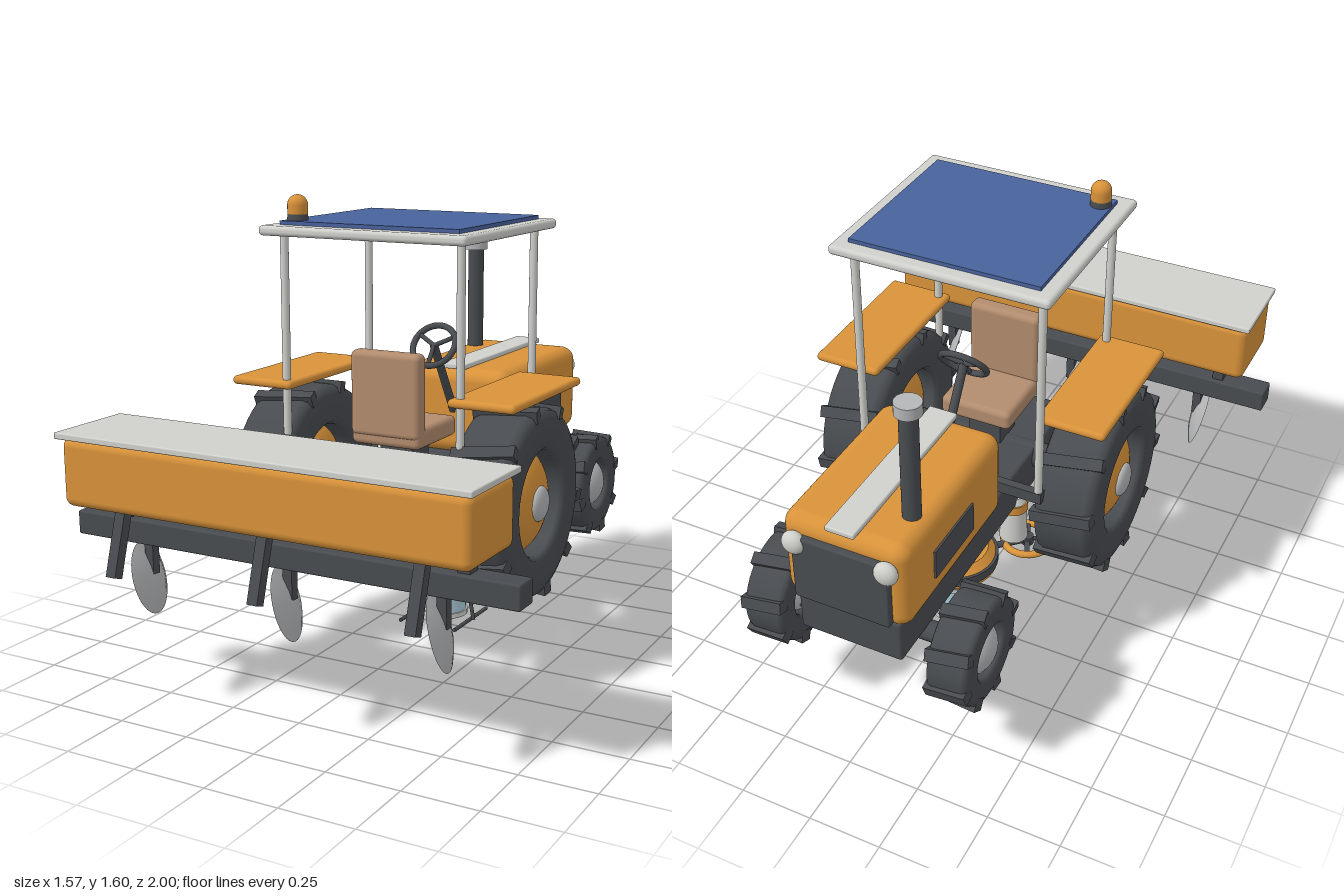
import * as THREE from 'three';
import { RoundedBoxGeometry } from 'three/addons/geometries/RoundedBoxGeometry.js';

const mat = (name, color) => Object.assign(new THREE.MeshStandardMaterial({ color }), { name });

export function createModel() {
  const orange = mat('orange paint', 0xd9933a);
  const dark = mat('dark rubber and iron', 0x484c50);
  const pale = mat('pale grey trim', 0xd0d0cc);
  const silver = mat('silver metal', 0xb4b6b8);
  const blue = mat('solar blue', 0x48629c);
  const tan = mat('tan seat', 0xb28c6e);
  const glass = mat('light blue tank', 0xaecfdd);
  const dish = mat('dished silver', 0xb4b6b8);
  dish.side = THREE.DoubleSide;

  const model = new THREE.Group();
  model.name = 'farmTractor';

  const add = (name, geo, m, x, y, z, parent = model) => {
    const mesh = new THREE.Mesh(geo, m);
    mesh.name = name;
    mesh.position.set(x, y, z);
    parent.add(mesh);
    return mesh;
  };
  // Box given by its extents; r rounds the edges
  const box = (name, m, x0, x1, y0, y1, z0, z1, r = 0, parent = model) => {
    const s = [x1 - x0, y1 - y0, z1 - z0];
    const geo = r ? new RoundedBoxGeometry(...s, 4, r) : new THREE.BoxGeometry(...s);
    return add(name, geo, m, (x0 + x1) / 2, (y0 + y1) / 2, (z0 + z1) / 2, parent);
  };
  const cyl = (name, m, rTop, rBottom, y0, y1, x, z, parent = model) =>
    add(name, new THREE.CylinderGeometry(rTop, rBottom, y1 - y0, 32), m, x, (y0 + y1) / 2, z, parent);
  // Round or square bar between two points
  const bar = (name, m, a, b, r, square = false, parent = model) => {
    const p = new THREE.Vector3(...a), q = new THREE.Vector3(...b), d = q.clone().sub(p);
    const geo = square ? new THREE.BoxGeometry(2 * r, d.length(), 2 * r)
      : new THREE.CylinderGeometry(r, r, d.length(), 16);
    const mesh = add(name, geo, m, 0, 0, 0, parent);
    mesh.position.copy(p).add(q).multiplyScalar(0.5);
    mesh.quaternion.setFromUnitVectors(new THREE.Vector3(0, 1, 0), d.normalize());
    return mesh;
  };

  // Wheel turning about x: tyre, bar lugs, domed rim and cap; outer side is +x
  const wheel = (name, side, x, y, z, R, w, rimR, rimMat, capR, lugs) => {
    const g = new THREE.Group();
    g.name = name;
    g.position.set(side * x, y, z);
    if (side < 0) g.rotation.y = Math.PI;
    model.add(g);
    const h = w / 2, b = R * 0.1;
    const profile = [[rimR, -h * 0.8], [rimR + b * 0.4, -h], [R - b, -h], [R - b * 0.3, -h + b * 0.3], [R, -h + b],
      [R, h - b], [R - b * 0.3, h - b * 0.3], [R - b, h], [rimR + b * 0.4, h], [rimR, h * 0.8], [rimR, -h * 0.8]]
      .map(p => new THREE.Vector2(...p));
    add('tyre', new THREE.LatheGeometry(profile, 48), dark, 0, 0, 0, g).rotation.z = -Math.PI / 2;
    for (let i = 0; i < lugs; i++) {
      const spin = new THREE.Group();
      spin.rotation.x = (i + 0.35) / lugs * Math.PI * 2;
      g.add(spin);
      const lug = box('lug', dark, -h - 0.002, h + 0.002, R - 0.03, R + 0.013, -0.02, 0.02, 0, spin);
      lug.rotation.y = 0.15;
    }
    const rim = add('rim', new THREE.SphereGeometry(rimR + 0.002, 40, 20), rimMat, 0, 0, 0, g);
    rim.scale.x = (h + (capR ? -0.008 : 0.008)) / rimR;
    if (capR) {
      const cap = add('hubCap', new THREE.SphereGeometry(capR, 24, 16), silver, h - 0.012, 0, 0, g);
      cap.scale.x = 0.4;
    } else {
      for (let i = 0; i < 6; i++) {
        const a = i * Math.PI / 3;
        const bolt = cyl('bolt', dark, 0.011, 0.011, -0.008, 0.008, 0, 0, g);
        bolt.rotation.z = Math.PI / 2;
        bolt.position.set(-h * 0.86, 0.055 * Math.cos(a), 0.055 * Math.sin(a));
      }
    }
  };

  // Chassis and axles
  box('chassis', dark, -0.18, 0.18, 0.49, 0.645, -0.94, 0.32, 0.012);
  bar('rearAxle', dark, [-0.4, 0.605, 0.05], [0.4, 0.605, 0.05], 0.045);
  bar('frontAxle', dark, [-0.32, 0.466, -0.76], [0.32, 0.466, -0.76], 0.035);

  // Hood, stripe, grille and exhaust
  box('hood', orange, -0.215, 0.215, 0.637, 0.955, -0.957, -0.3, 0.05);
  box('hoodStripe', pale, -0.05, 0.05, 0.952, 0.972, -0.965, -0.3, 0.006);
  box('grille', dark, -0.165, 0.165, 0.66, 0.9, -0.98, -0.95, 0.008);
  cyl('exhaustPipe', dark, 0.03, 0.03, 0.93, 1.335, -0.148, -0.79);
  cyl('exhaustCap', silver, 0.043, 0.043, 1.33, 1.37, -0.148, -0.79);

  for (const s of [-1, 1]) {
    wheel('rearWheel', s, 0.407, 0.605, 0.05, 0.318, 0.212, 0.178, orange, 0.06, 10);
    wheel('frontWheel', s, 0.327, 0.466, -0.76, 0.182, 0.142, 0.095, silver, 0, 8);
    box('sideVent', dark, s * 0.215 - 0.007, s * 0.215 + 0.007, 0.725, 0.83, -0.785, -0.53);
    const lamp = add('headlight', new THREE.SphereGeometry(0.04, 24, 16), pale, s * 0.157, 0.873, -0.972);
    lamp.scale.z = 0.7;
    box('fender', orange, s * 0.409 - 0.118, s * 0.409 + 0.118, 0.956, 0.985, -0.225, 0.32, 0.014);
    for (const z of [-0.265, 0.287]) cyl('roofPost', pale, 0.014, 0.014, 0.71, 1.48, s * 0.325, z);
    box('postFoot', dark, s * 0.25 - 0.09, s * 0.25 + 0.09, 0.68, 0.72, -0.28, -0.25);
    bar('hitchArm', dark, [s * 0.13, 0.645, 0.25], [s * 0.13, 0.557, 0.79], 0.013, true);
  }

  // Seat
  box('seatPedestal', dark, -0.06, 0.06, 0.64, 0.79, 0, 0.12);
  box('seatCushion', tan, -0.13, 0.13, 0.77, 0.84, -0.08, 0.2, 0.02);
  box('seatBack', tan, -0.13, 0.13, 0.8, 1.09, 0.143, 0.205, 0.02);

  // Steering wheel and column
  const steering = new THREE.Group();
  steering.name = 'steeringWheel';
  steering.position.set(0, 1.06, -0.155);
  steering.rotation.x = -0.65;
  model.add(steering);
  add('steeringRing', new THREE.TorusGeometry(0.08, 0.011, 12, 40), dark, 0, 0, 0, steering);
  for (let i = 0; i < 3; i++) {
    const a = Math.PI / 2 + i * Math.PI * 2 / 3;
    bar('steeringSpoke', dark, [0, 0, 0], [0.08 * Math.cos(a), -0.08 * Math.sin(a), 0], 0.008, false, steering);
  }
  bar('steeringColumn', dark, [0, 1.06, -0.155], [0, 0.8, -0.31], 0.015);

  // Roof, solar panel and beacon
  box('roof', pale, -0.378, 0.378, 1.47, 1.503, -0.34, 0.365, 0.014);
  box('solarPanel', blue, -0.328, 0.328, 1.5, 1.516, -0.292, 0.307);
  cyl('beaconBase', dark, 0.033, 0.036, 1.51, 1.54, -0.29, 0.257);
  add('beacon', new THREE.CapsuleGeometry(0.034, 0.025, 8, 24), orange, -0.29, 1.553, 0.257);

  // Seeder: hopper, lid, toolbar, tines and discs
  box('hopper', orange, -0.707, 0.707, 0.667, 0.888, 0.695, 0.985, 0.03);
  box('hopperLid', pale, -0.717, 0.717, 0.885, 0.906, 0.683, 1, 0.005);
  box('toolbar', dark, -0.784, 0.784, 0.527, 0.605, 0.743, 0.83, 0.006);
  for (const x of [-0.6, 0.6]) box('hopperBracket', dark, x - 0.02, x + 0.02, 0.59, 0.68, 0.76, 0.81);
  const bowl = [[0, 0.028], [0.04, 0.025], [0.08, 0.016], [0.12, 0]].map(p => new THREE.Vector2(...p));
  for (const x of [-0.525, 0, 0.525]) {
    bar('tine', dark, [x, 0.69, 0.905], [x, 0.46, 0.975], 0.018, true);
    bar('discStalk', dark, [x, 0.55, 0.785], [x, 0.42, 0.785], 0.016, true);
    const holder = new THREE.Group();
    holder.name = 'plowDisc';
    holder.position.set(x, 0.41, 0.785);
    holder.rotation.set(0, 0.28, 0.28);
    model.add(holder);
    add('disc', new THREE.LatheGeometry(bowl, 40), dish, -0.012, 0, 0, holder).rotation.z = -Math.PI / 2;
  }

  // Canister under the frame
  cyl('canister', pale, 0.045, 0.05, 0.335, 0.465, -0.158, -0.09);
  cyl('canisterBand', orange, 0.05, 0.05, 0.46, 0.495, -0.158, -0.09);
  cyl('canisterNeck', pale, 0.035, 0.045, 0.495, 0.52, -0.158, -0.09);

  // Four-rotor sprayer with hanging tank
  const drone = new THREE.Group();
  drone.name = 'sprayer';
  drone.position.z = -0.24;
  model.add(drone);
  cyl('sprayerTop', orange, 0.12, 0.145, 0.318, 0.345, 0, 0, drone);
  cyl('sprayerDeck', dark, 0.155, 0.155, 0.285, 0.318, 0, 0, drone);
  cyl('sprayerTrim', orange, 0.15, 0.15, 0.27, 0.287, 0, 0, drone);
  cyl('sprayerBowl', silver, 0.148, 0.09, 0.21, 0.272, 0, 0, drone);
  cyl('upperFlange', pale, 0.09, 0.09, 0.193, 0.212, 0, 0, drone);
  cyl('tank', glass, 0.082, 0.082, 0.068, 0.195, 0, 0, drone);
  cyl('lowerFlange', pale, 0.088, 0.088, 0.052, 0.07, 0, 0, drone);
  cyl('nozzle', dark, 0.012, 0.026, 0, 0.053, 0, 0, drone);
  for (const s of [-1, 1]) {
    bar('leg', dark, [s * 0.09, 0.21, 0], [s * 0.122, 0.04, 0], 0.007, false, drone);
    bar('skid', dark, [s * 0.11, 0.04, -0.132], [s * 0.11, 0.04, 0.132], 0.007, false, drone);
    for (const t of [-1, 1]) {
      const x = s * 0.195, z = t * 0.19;
      const ring = add('rotorGuard', new THREE.TorusGeometry(0.085, 0.013, 12, 36), s < 0 ? orange : dark, x, 0.295, z, drone);
      ring.rotation.x = Math.PI / 2;
      bar('rotorArm', dark, [0, 0.3, 0], [x, 0.295, z], 0.012, false, drone);
      cyl('rotorHub', dark, 0.022, 0.022, 0.28, 0.312, x, z, drone);
      for (const a of [0.4, 1.97])
        box('rotorBlade', dark, x - 0.078, x + 0.078, 0.296, 0.302, z - 0.009, z + 0.009, 0, drone).rotation.y = a;
    }
  }
  return model;
}
